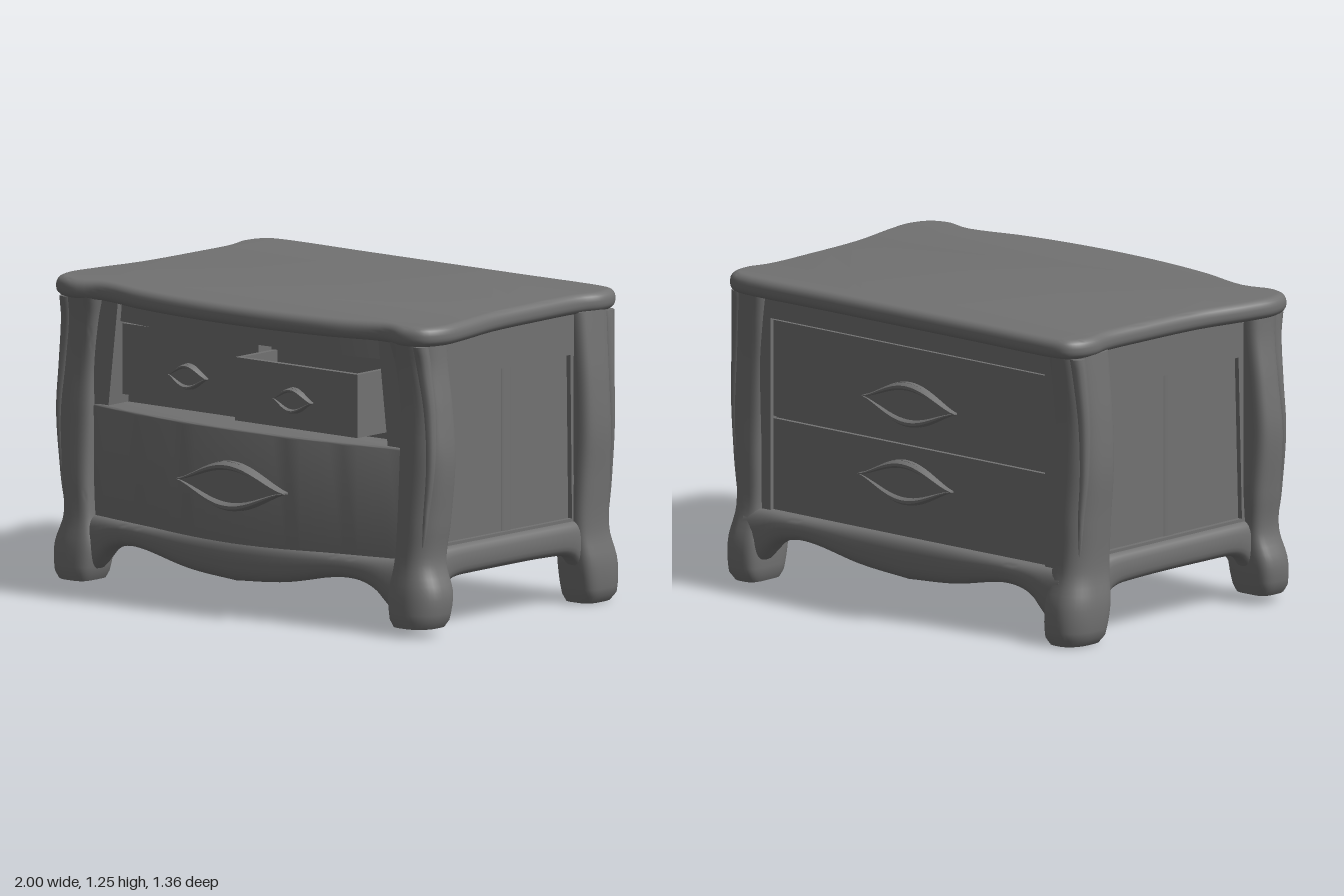
import * as THREE from 'three';
import { toCreasedNormals } from 'three/addons/utils/BufferGeometryUtils.js';

const grey = new THREE.MeshStandardMaterial({ color: 0x727272 });
grey.name = 'painted grey wood';

const V = (x, y, z) => new THREE.Vector3(x, y, z);
const bow = (x) => 0.615 - 0.09 * (x / 0.8) ** 2; // bowed front line

// smooth interpolation through rows sorted by their first column
function sample(rows, key) {
  let i = 0;
  while (i < rows.length - 2 && key > rows[i + 1][0]) i++;
  const b = rows[i], c = rows[i + 1], a = rows[i - 1] || b, d = rows[i + 2] || c;
  const t = (key - b[0]) / (c[0] - b[0]);
  return b.map((_, k) => {
    const m0 = (c[k] - a[k]) / (c[0] - a[0]) * (c[0] - b[0]);
    const m1 = (d[k] - b[k]) / (d[0] - b[0]) * (c[0] - b[0]);
    return b[k] * (2 * t ** 3 - 3 * t * t + 1) + m0 * (t ** 3 - 2 * t * t + t)
      + c[k] * (3 * t * t - 2 * t ** 3) + m1 * (t ** 3 - t * t);
  });
}

// rounded-rectangle section, counter-clockwise [u, v] pairs; the corner at u > 0 can be rounder
function section(ru, rv, power, n = 24, cornerPower = power, cornerSide = 1) {
  return Array.from({ length: n }, (_, i) => {
    const a = (i / n) * Math.PI * 2, c = Math.cos(a), s = Math.sin(a);
    const e = 2 / (c > 0 && s * cornerSide > 0 ? cornerPower : power);
    return [ru * Math.sign(c) * Math.abs(c) ** e, rv * Math.sign(s) * Math.abs(s) ** e];
  });
}

// closed solid from rings that run counter-clockwise about the path; s = -1 mirrors in x
function loft(rings, s = 1) {
  const n = rings[0].length, pos = [], idx = [];
  rings.forEach((r) => (s < 0 ? [...r].reverse() : r).forEach((p) => pos.push(p.x * s, p.y, p.z)));
  for (let i = 0; i < rings.length - 1; i++)
    for (let j = 0; j < n; j++) {
      const a = i * n + j, b = i * n + (j + 1) % n;
      idx.push(a, b, a + n, b, b + n, a + n);
    }
  [0, rings.length - 1].forEach((i) => {
    const c = rings[i].reduce((m, p) => m.add(p), V(0, 0, 0)).divideScalar(n);
    const ci = pos.length / 3;
    pos.push(c.x * s, c.y, c.z);
    for (let j = 0; j < n; j++) {
      const a = i * n + j, b = i * n + (j + 1) % n;
      i === 0 ? idx.push(ci, b, a) : idx.push(ci, a, b);
    }
  });
  const g = new THREE.BufferGeometry();
  g.setAttribute('position', new THREE.Float32BufferAttribute(pos, 3));
  g.setIndex(idx);
  return toCreasedNormals(g, 0.8);
}

const steps = (a, b, n) => Array.from({ length: n + 1 }, (_, i) => a + (b - a) * i / n);

export function createModel() {
  const model = new THREE.Group();
  const add = (name, geo, parent = model) => {
    const m = new THREE.Mesh(geo, grey);
    m.name = name;
    parent.add(m);
    return m;
  };
  const box = (name, x0, x1, y0, y1, z0, z1, parent) => add(name,
    new THREE.BoxGeometry(x1 - x0, y1 - y0, z1 - z0)
      .translate((x0 + x1) / 2, (y0 + y1) / 2, (z0 + z1) / 2), parent);
  // plan outline (x, z) raised between two heights
  const slab = (name, pts, y0, y1, bevel) => {
    const shape = new THREE.Shape(pts.map((p) => new THREE.Vector2(p[0], -p[1])));
    const g = new THREE.ExtrudeGeometry(shape, {
      depth: y1 - y0 - 2 * bevel, bevelEnabled: bevel > 0, bevelSize: bevel,
      bevelThickness: bevel, bevelOffset: -bevel, bevelSegments: 5,
    });
    g.rotateX(-Math.PI / 2).translate(0, y0 + bevel, 0);
    return add(name, toCreasedNormals(g, 0.7));
  };
  const bowed = (name, w, y0, y1, back, off, bevel) => slab(name,
    [[-w, back], ...steps(-w, w, 24).map((x) => [x, bow(x) + off]), [w, back]], y0, y1, bevel);

  // top: serpentine slab with a rounded edge
  const half = [[0.25, 0.665], [0.5, 0.633], [0.74, 0.578], [0.87, 0.605], [0.96, 0.57], [1, 0.47],
    [0.985, 0.33], [0.94, 0.1], [0.925, -0.2], [0.925, -0.43], [0.95, -0.53], [0.94, -0.61],
    [0.905, -0.66], [0.84, -0.68], [0.4, -0.68]];
  const outline = [[0, 0.675], ...half, [0, -0.68], ...half.map(([x, z]) => [-x, z]).reverse()];
  const edge = new THREE.CatmullRomCurve3(outline.map(([x, z]) => V(x, 0, z)), true, 'centripetal');
  slab('top', edge.getPoints(140).slice(0, -1).map((p) => [p.x, p.z]), 1.17, 1.25, 0.034);

  // carcass, underside boards and bowed front rails
  box('carcass', -0.875, 0.875, 0.21, 1.18, -0.57, 0.4);
  box('middleBottomBoard', -0.36, 0.36, 0.168, 0.215, -0.42, 0.4);
  [-0.58, 0.58].forEach((x) => box('sideBottomBoard', x - 0.21, x + 0.21, 0.2, 0.215, -0.5, 0.48));
  bowed('lowerDrawerFront', 0.81, 0.27, 0.745, 0.3, 0, 0.012);
  bowed('topRail', 0.81, 1.085, 1.18, 0.3, -0.055, 0);
  for (const s of [-1, 1]) {
    const shape = new THREE.Shape([[0.73, 0.74], [0.82, 0.74], [0.82, 1.17], [0.68, 1.17]]
      .map(([x, y]) => new THREE.Vector2(s * x, y)));
    add('frontStile', new THREE.ExtrudeGeometry(shape, { depth: 0.15, bevelEnabled: false })
      .translate(0, 0, 0.37));
  }

  // small drawers: one shut, one pulled out and open on top
  box('closedDrawer', -0.69, 0.02, 0.79, 1.075, 0.38, 0.48);
  const drawer = new THREE.Group();
  drawer.name = 'openDrawer';
  model.add(drawer);
  box('drawerFloor', 0.03, 0.67, 0.785, 0.81, 0.38, 0.62, drawer);
  box('drawerFront', 0.03, 0.67, 0.785, 1.04, 0.61, 0.635, drawer);
  [0.03, 0.648].forEach((x) => box('drawerSide', x, x + 0.022, 0.785, 1.04, 0.38, 0.62, drawer));

  // eye-shaped handle: thin plate with an upper and a lower lip
  function handle(name, x, y, z, w, h, d, back) {
    const g = new THREE.Group();
    g.name = name;
    const arc = (t) => h * Math.cos(t * Math.PI / 2) ** 1.4;
    const ts = steps(-1, 1, 20);
    const plate = new THREE.Shape([...ts.map((t) => new THREE.Vector2(t * w, -arc(t))),
      ...ts.slice(1, -1).reverse().map((t) => new THREE.Vector2(t * w, arc(t)))]);
    add('handlePlate', new THREE.ExtrudeGeometry(plate, { depth: d * 0.5, bevelEnabled: false }), g);
    for (const s of [-1, 1]) {
      add('handleLip', loft(ts.map((t) => {
        const k = 0.2 + 0.8 * Math.cos(t * Math.PI / 2);
        return section(h * 0.2 * k, d * (0.5 + 0.5 * k), 2, 10)
          .map(([u, v]) => V(t * w, s * arc(t) * 0.82 + u, v));
      })), g);
    }
    g.position.set(x, y, z);
    if (back) g.rotation.y = Math.PI;
    model.add(g);
  }
  handle('largeHandle', 0, 0.515, 0.605, 0.28, 0.1, 0.055);
  handle('openDrawerHandle', 0.34, 0.9, 0.633, 0.1, 0.052, 0.035);
  handle('closedDrawerHandle', -0.34, 0.9, 0.478, 0.1, 0.052, 0.035);

  // back: frame with two shallow drawer fronts and handles
  box('backTopRail', -0.82, 0.82, 1.08, 1.18, -0.605, -0.5);
  [-0.79, 0.79].forEach((x) => box('backStile', x - 0.05, x + 0.05, 0.25, 1.18, -0.605, -0.5));
  [[0.28, 0.67], [0.68, 1.07]].forEach(([y0, y1]) => box('backPanel', -0.75, 0.75, y0, y1, -0.588, -0.5));
  handle('backHandle', 0, 0.84, -0.586, 0.25, 0.09, 0.035, true);
  handle('backHandle', 0.02, 0.52, -0.586, 0.25, 0.09, 0.035, true);

  // corner posts with cabriole feet: [y, inner x, outer x, inner z, outer z]
  const frontPost = [[0.035, 0.8, 0.97, 0.425, 0.595], [0.06, 0.785, 0.99, 0.415, 0.605],
    [0.17, 0.77, 1, 0.4, 0.6], [0.29, 0.79, 0.96, 0.4, 0.58], [0.45, 0.8, 0.975, 0.39, 0.575],
    [0.7, 0.8, 1, 0.39, 0.562], [0.9, 0.8, 0.985, 0.39, 0.55], [1.08, 0.78, 0.96, 0.39, 0.56],
    [1.18, 0.76, 0.955, 0.39, 0.58]];
  const backPost = [[0, 0.79, 0.93, -0.47, -0.655], [0.03, 0.775, 0.955, -0.455, -0.675],
    [0.16, 0.77, 0.965, -0.43, -0.675], [0.29, 0.78, 0.945, -0.42, -0.64], [0.5, 0.78, 0.955, -0.42, -0.635],
    [0.7, 0.78, 0.97, -0.42, -0.625], [0.9, 0.78, 0.965, -0.42, -0.62], [1.08, 0.77, 0.95, -0.42, -0.63],
    [1.18, 0.76, 0.94, -0.42, -0.64]];
  for (const s of [-1, 1]) {
    for (const [name, rows, corner] of [['frontPost', frontPost, -1], ['backPost', backPost, 1]]) {
      add(name, loft(steps(rows[0][0], 1.18, 40).map((y) => {
        const [, xi, xo, zi, zo] = sample(rows, y);
        return section((xo - xi) / 2, Math.abs(zo - zi) / 2, 4, 32, 2, corner)
          .map(([u, v]) => V((xi + xo) / 2 + u, y, (zi + zo) / 2 - v));
      }), s));
      // carved leaf rib down the outer corner
      add('leafRib', loft(steps(0.36, 1.17, 24).map((y) => {
        const [, xi, xo, zi, zo] = sample(rows, y);
        const r = 0.006 + 0.026 * ((y - 0.36) / 0.81) ** 0.7;
        return section(r, r, 2, 10).map(([u, v]) =>
          V(xi + (xo - xi) * 0.83 + u, y, zi + (zo - zi) * 0.83 - v));
      }), s));
    }

    // side frame around a recessed panel
    const frame = new THREE.Shape([[-0.5, 0.24], [0.46, 0.24], [0.46, 1.18], [-0.5, 1.18]]
      .map((p) => new THREE.Vector2(...p)));
    frame.holes.push(new THREE.Path([[-0.41, 0.35], [-0.4, 1.01], [0.36, 1.01], [0.38, 0.35]]
      .map((p) => new THREE.Vector2(...p))));
    add('sideFrame', new THREE.ExtrudeGeometry(frame, { depth: 0.05, bevelEnabled: false })
      .rotateY(-Math.PI / 2).translate(s > 0 ? 0.895 : -0.845, 0, 0));
    const ridge = add('sidePanelRidge', new THREE.CylinderGeometry(0.03, 0.03, 0.67, 16));
    ridge.scale.x = 0.25;
    ridge.position.set(s * 0.873, 0.68, -0.03);

    // side apron flowing into the feet: [z, bottom y]
    const sideEdge = [[-0.5, 0.06], [-0.45, 0.13], [-0.4, 0.19], [-0.3, 0.21], [0.2, 0.213],
      [0.33, 0.205], [0.39, 0.17], [0.43, 0.1], [0.47, 0.07]];
    add('sideApron', loft(steps(-0.5, 0.47, 40).map((z) => {
      const y0 = sample(sideEdge, z)[1];
      return section(0.05, (0.34 - y0) / 2, 2.8).map(([u, v]) => V(0.875 + u, (0.34 + y0) / 2 + v, z));
    }), s));
  }

  // front and back aprons with a dipping middle: [x, bottom y]
  const apronEdge = [[0, 0.13], [0.25, 0.15], [0.5, 0.197], [0.62, 0.195], [0.7, 0.162], [0.76, 0.1],
    [0.81, 0.06], [0.85, 0.05]];
  const apron = (name, zOf) => add(name, loft(steps(-0.85, 0.85, 60).map((x) => {
    const y0 = sample(apronEdge, Math.abs(x))[1];
    return section((0.3 - y0) / 2, 0.06, 2.8).map(([u, v]) => V(x, (0.3 + y0) / 2 + u, zOf(x) + v));
  })));
  apron('frontApron', (x) => bow(x) - 0.045 + 0.03 * (x / 0.85) ** 2);
  apron('backApron', (x) => -0.575 - 0.02 * (x / 0.85) ** 2);

  return model;
}
